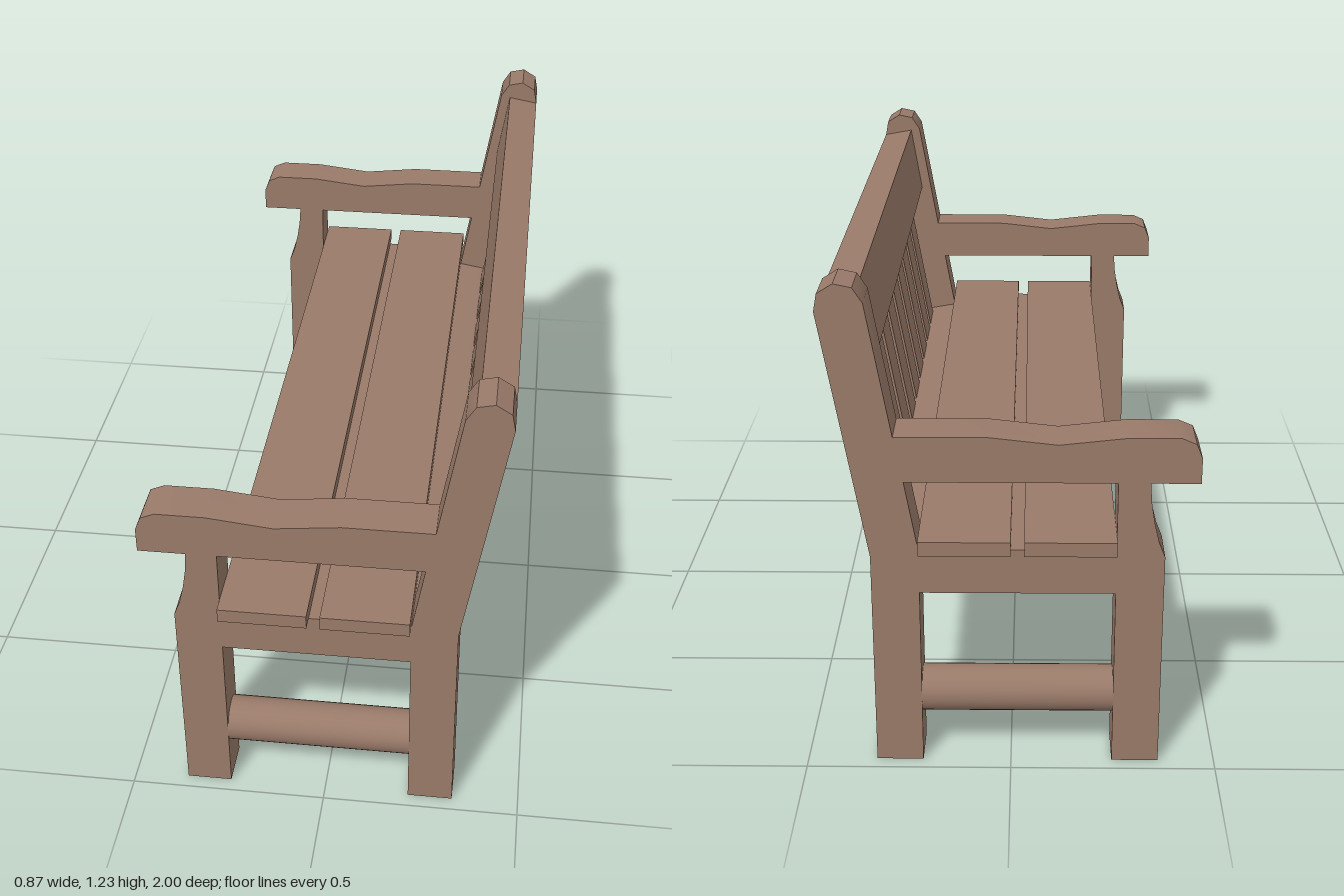
import * as THREE from 'three';
import { toCreasedNormals } from 'three/addons/utils/BufferGeometryUtils.js';

export function createModel() {
  const bench = new THREE.Group();
  bench.name = 'bench';
  const wood = new THREE.MeshStandardMaterial({ color: 0x997a69 });
  wood.name = 'wood';

  const toPoints = (list) => list.map(([x, y]) => new THREE.Vector2(x, y));

  // Extrudes a side profile (x, y) along z, centred on z.
  function addProfile(name, outline, z, depth, hole) {
    const shape = new THREE.Shape(toPoints(outline));
    if (hole) shape.holes.push(new THREE.Path(toPoints(hole)));
    const geometry = new THREE.ExtrudeGeometry(shape, { depth, bevelEnabled: false });
    geometry.translate(0, 0, z - depth / 2);
    const mesh = new THREE.Mesh(toCreasedNormals(geometry, 0.6), wood);
    mesh.name = name;
    bench.add(mesh);
  }

  // End frame: legs, seat rail, armrest and leaning back post in one profile.
  const frame = [
    [-0.362, 0], [-0.248, 0], [-0.248, 0.465], [0.216, 0.465], [0.216, 0], [0.33, 0],
    [0.33, 0.56], [0.435, 1.165], [0.427, 1.207], [0.39, 1.23], [0.348, 1.221], [0.325, 1.185],
    [0.269, 0.865], [0.05, 0.865], [-0.11, 0.847], [-0.27, 0.865], [-0.39, 0.865],
    [-0.425, 0.85], [-0.439, 0.815], [-0.439, 0.752], [-0.323, 0.752],
    [-0.327, 0.7], [-0.335, 0.65], [-0.347, 0.6], [-0.362, 0.562],
  ];
  const armOpening = [[-0.248, 0.58], [0.217, 0.58], [0.247, 0.752], [-0.248, 0.752]];

  for (const [side, s] of [['left', 1], ['right', -1]]) {
    addProfile(side + 'EndFrame', frame, s * 0.908, 0.113, armOpening);

    // Round stretcher between the legs.
    const stretcher = new THREE.Mesh(new THREE.CylinderGeometry(0.057, 0.057, 0.464, 32), wood);
    stretcher.name = side + 'Stretcher';
    stretcher.rotation.z = Math.PI / 2;
    stretcher.position.set(-0.016, 0.173, s * 0.908);
    bench.add(stretcher);
  }

  // Solid seat base with a sloped rear ledge carrying the back slats.
  addProfile('seatBase', [
    [-0.248, 0.465], [0.33, 0.465], [0.33, 0.56], [0.216, 0.58], [-0.248, 0.58],
  ], 0, 1.704);

  // Seat planks.
  for (const [name, x0, x1] of [['frontPlank', -0.248, -0.032], ['rearPlank', 0, 0.216]]) {
    const plank = new THREE.Mesh(new THREE.BoxGeometry(x1 - x0, 0.036, 2), wood);
    plank.name = name;
    plank.position.set((x0 + x1) / 2, 0.598, 0);
    bench.add(plank);
  }

  // Leaning top rail of the backrest.
  addProfile('topRail', [
    [0.403, 0.975], [0.435, 1.165], [0.352, 1.18], [0.32, 0.988],
  ], 0, 1.704);

  // Upright back slats.
  for (let i = 0; i < 10; i++) {
    addProfile('backSlat' + (i + 1), [
      [0.33, 0.56], [0.403, 0.977], [0.363, 0.984], [0.29, 0.567],
    ], (i - 4.5) * 0.166, 0.128);
  }

  return bench;
}
